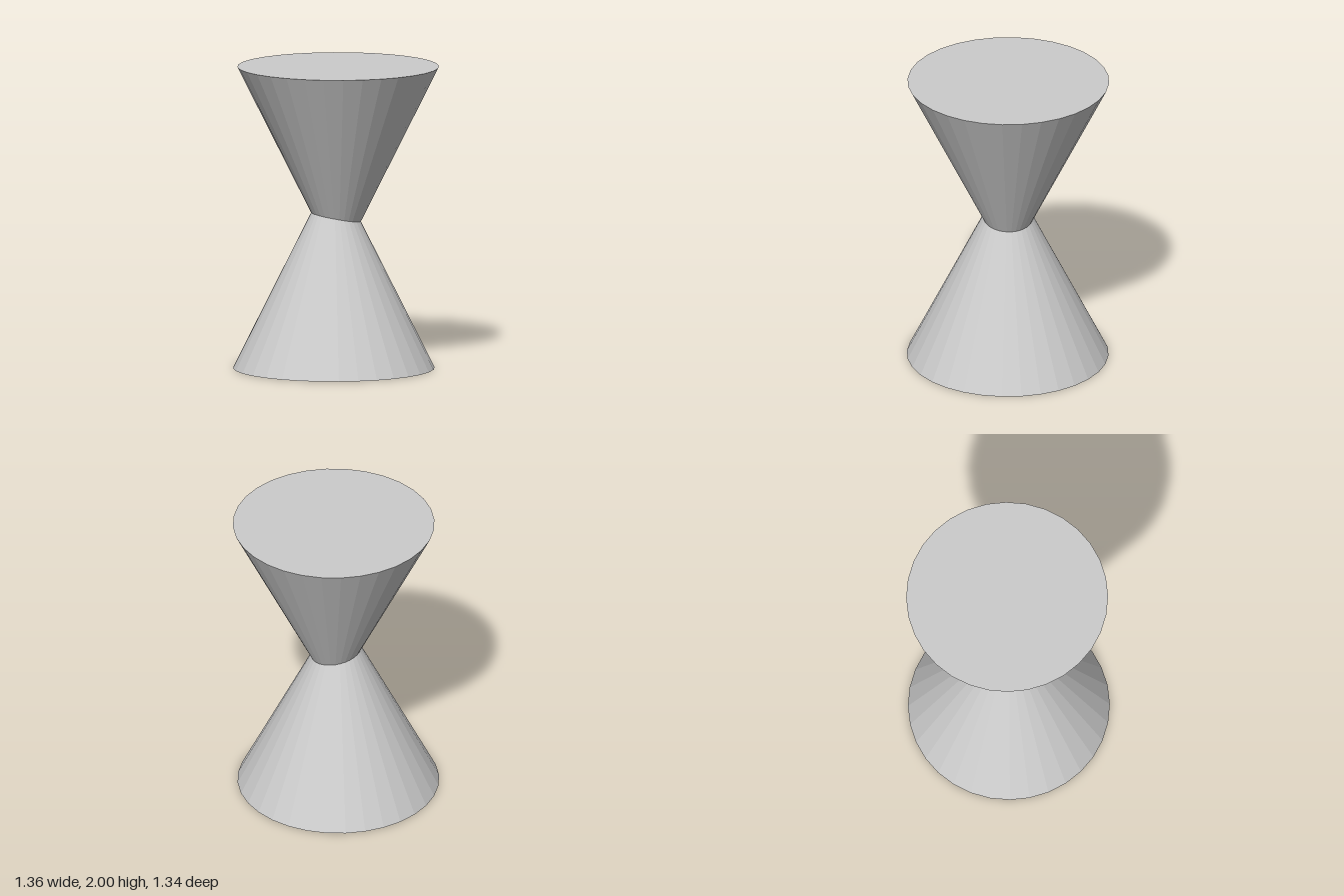
import * as THREE from 'three';

export function createModel() {
  const group = new THREE.Group();
  const material = new THREE.MeshStandardMaterial({ color: 0xcccccc, flatShading: true });
  const radius = 0.664;
  const height = 1.328;
  const cone = new THREE.ConeGeometry(radius, height, 32);

  // Lower cone stands on its base, its tip buried in the upper cone
  const lower = new THREE.Mesh(cone, material);
  lower.name = 'lowerCone';
  lower.position.set(-0.014, height / 2, -0.006);

  // Upper cone is inverted and slightly offset, its tip buried in the lower cone
  const upper = new THREE.Mesh(cone, material);
  upper.name = 'upperCone';
  upper.rotation.x = Math.PI;
  upper.position.set(0.014, 2 - height / 2, 0.006);

  group.add(lower, upper);
  return group;
}
